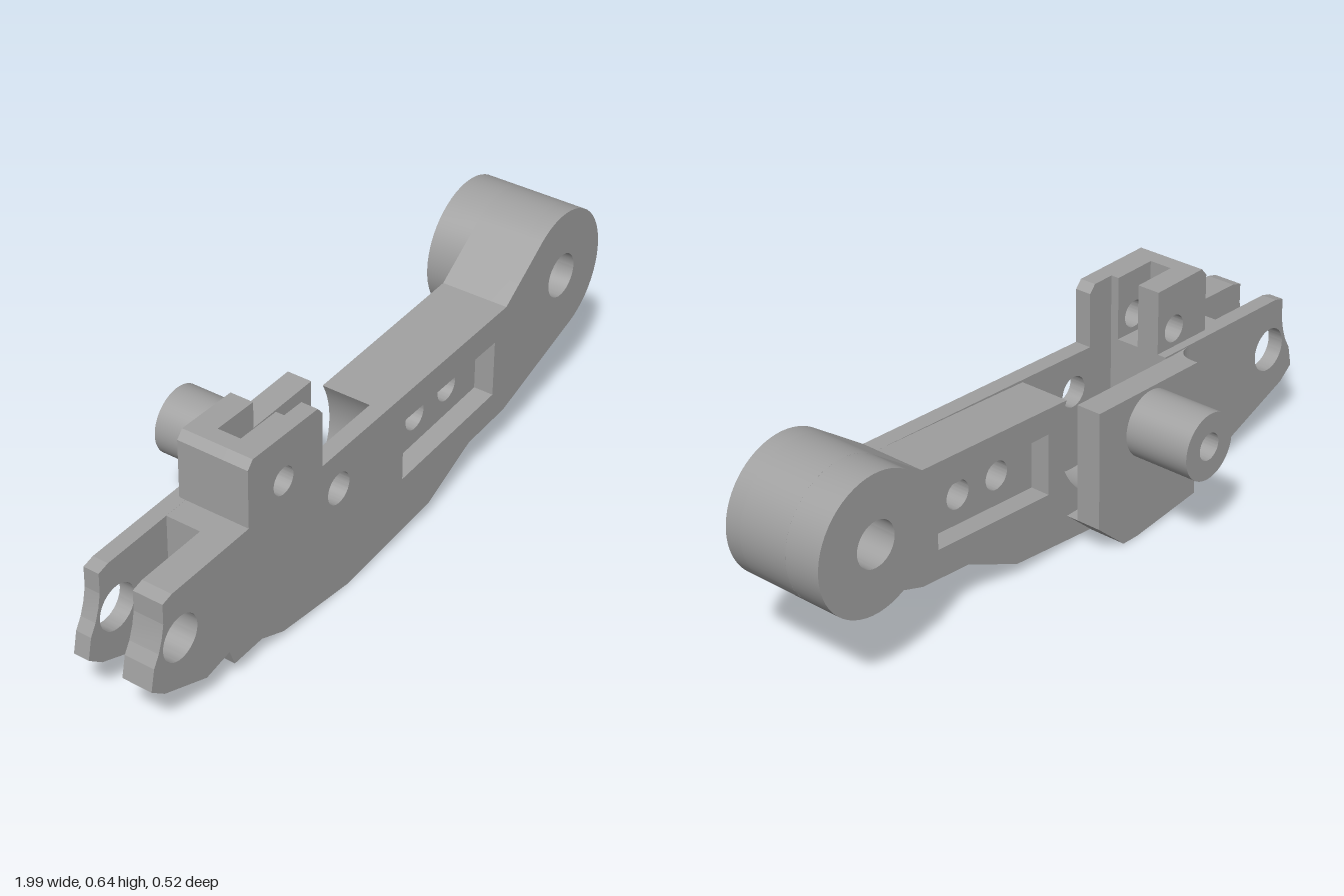
import * as THREE from 'three';
import { toCreasedNormals } from 'three/addons/utils/BufferGeometryUtils.js';

export function createModel() {
  const group = new THREE.Group();
  const metal = new THREE.MeshStandardMaterial({ color: 0xa0a0a0 });
  metal.name = 'grey metal';

  const add = (name, geometry) => {
    const mesh = new THREE.Mesh(toCreasedNormals(geometry, 0.16), metal);
    mesh.name = name;
    group.add(mesh);
  };

  // Points on an arc, angles in degrees
  const arc = (cx, cy, r, from, to, n = 36) => {
    const pts = [];
    for (let i = 0; i <= n; i++) {
      const a = THREE.MathUtils.degToRad(from + ((to - from) * i) / n);
      pts.push([cx + r * Math.cos(a), cy + r * Math.sin(a)]);
    }
    return pts;
  };
  const circle = (cx, cy, r) => arc(cx, cy, r, 0, 360, 56).slice(0, -1);
  const vectors = (pts) => pts.map(([x, y]) => new THREE.Vector2(x, y));

  // Plate with the given outline and holes, between two depths
  const slab = (name, pts, z0, z1, holes = []) => {
    const shape = new THREE.Shape(vectors(pts));
    holes.forEach((h) => shape.holes.push(new THREE.Path(vectors(h))));
    const g = new THREE.ExtrudeGeometry(shape, { depth: z1 - z0, bevelEnabled: false });
    g.translate(0, 0, z0);
    add(name, g);
  };

  const BACK = 0.018;
  const forkHole = circle(-0.885, 0.28, 0.065);
  const towerHole = circle(-0.475, 0.5, 0.04);
  const bossHole = circle(0.8, 0.45, 0.065);
  const windowCut = [[0.04, 0.2], [0.47, 0.232], [0.47, 0.402], [0.04, 0.385]];

  // Forked end: two arms joined by a core
  const armBottom = [[-0.405, 0.023], [-0.48, 0.03], [-0.57, 0.065], [-0.68, 0.06]];
  const armTip = [
    [-0.95, 0.15], [-0.998, 0.187], [-0.985, 0.25], [-0.966, 0.283], [-0.953, 0.32],
    [-0.945, 0.36], [-0.945, 0.42], [-0.91, 0.43], [-0.405, 0.447],
  ];
  slab('frontForkArm', [...armBottom, [-0.7, 0.11], [-0.79, 0.09], ...armTip], 0.17, 0.26, [forkHole]);
  slab('backForkArm', [...armBottom, [-0.71, 0.06], ...armTip], BACK, 0.065, [forkHole]);
  slab('forkCore', [...armBottom, [-0.69, 0.06], [-0.69, 0.437], [-0.405, 0.447]], 0.065, 0.17);

  // Tower with a slot open at the top and one side
  const towerSide = [
    [-0.615, 0.43], [-0.405, 0.43], [-0.405, 0.635], [-0.595, 0.635], [-0.615, 0.612],
  ];
  slab('towerBack', towerSide, 0.045, 0.115, [towerHole]);
  slab('towerFront', towerSide, 0.185, 0.26, [towerHole]);
  slab('towerEnd', [
    [-0.615, 0.43], [-0.545, 0.43], [-0.545, 0.635], [-0.595, 0.635], [-0.615, 0.612],
  ], 0.115, 0.185);

  // Main arm, hollowed by a round pocket behind its front wall
  const bottom = [[0.53, 0.15], [0.36, 0.135], [0.17, 0.045], [-0.2, 0.005], [-0.405, 0.023]];
  const bossEdge = arc(0.8, 0.45, 0.195, 125, -70, 60);
  const pocketEdge = arc(-0.245, 0.34, 0.24, 228, 389);
  slab('armBody', [...pocketEdge, [0.52, 0.49], ...bossEdge, ...bottom], 0.055, 0.21, [bossHole, windowCut]);
  slab('armFrontWall', [
    [-0.405, 0.635], [-0.335, 0.635], [-0.315, 0.612], [-0.315, 0.45], [0.52, 0.49],
    ...bossEdge, ...bottom,
  ], 0.21, 0.26, [bossHole, windowCut, circle(-0.245, 0.34, 0.046)]);
  slab('boss', circle(0.8, 0.45, 0.195), -0.055, 0.055, [bossHole]);

  // Thin web inside the window, with two holes
  slab('windowWeb', windowCut, 0.115, 0.2, [circle(0.18, 0.3, 0.042), circle(0.33, 0.31, 0.042)]);

  // Pocket floor, back plate and hollow pin
  slab('pocketFloor', [
    ...arc(-0.245, 0.34, 0.24, 228, 270, 12), [-0.035, 0.1], [-0.14, 0.007], [-0.2, 0.005], [-0.405, 0.023],
  ], BACK, 0.055);
  const pinHole = circle(-0.245, 0.34, 0.04);
  slab('backPlate', [
    [-0.035, 0.1], [-0.035, 0.455], [-0.45, 0.44], [-0.45, 0.028], [-0.2, 0.005], [-0.14, 0.007],
  ], -0.058, BACK, [pinHole]);
  slab('pin', circle(-0.245, 0.34, 0.098), -0.26, -0.058, [pinHole]);

  // Concave fillet between back plate and fork
  const fillet = new THREE.Shape();
  fillet.moveTo(-0.45, -BACK);
  fillet.lineTo(-0.45, 0.035);
  fillet.quadraticCurveTo(-0.455, -BACK, -0.51, -BACK);
  const filletGeometry = new THREE.ExtrudeGeometry(fillet, { depth: 0.4, bevelEnabled: false, curveSegments: 16 });
  filletGeometry.rotateX(-Math.PI / 2).translate(0, 0.04, 0);
  add('plateFillet', filletGeometry);

  return group;
}
